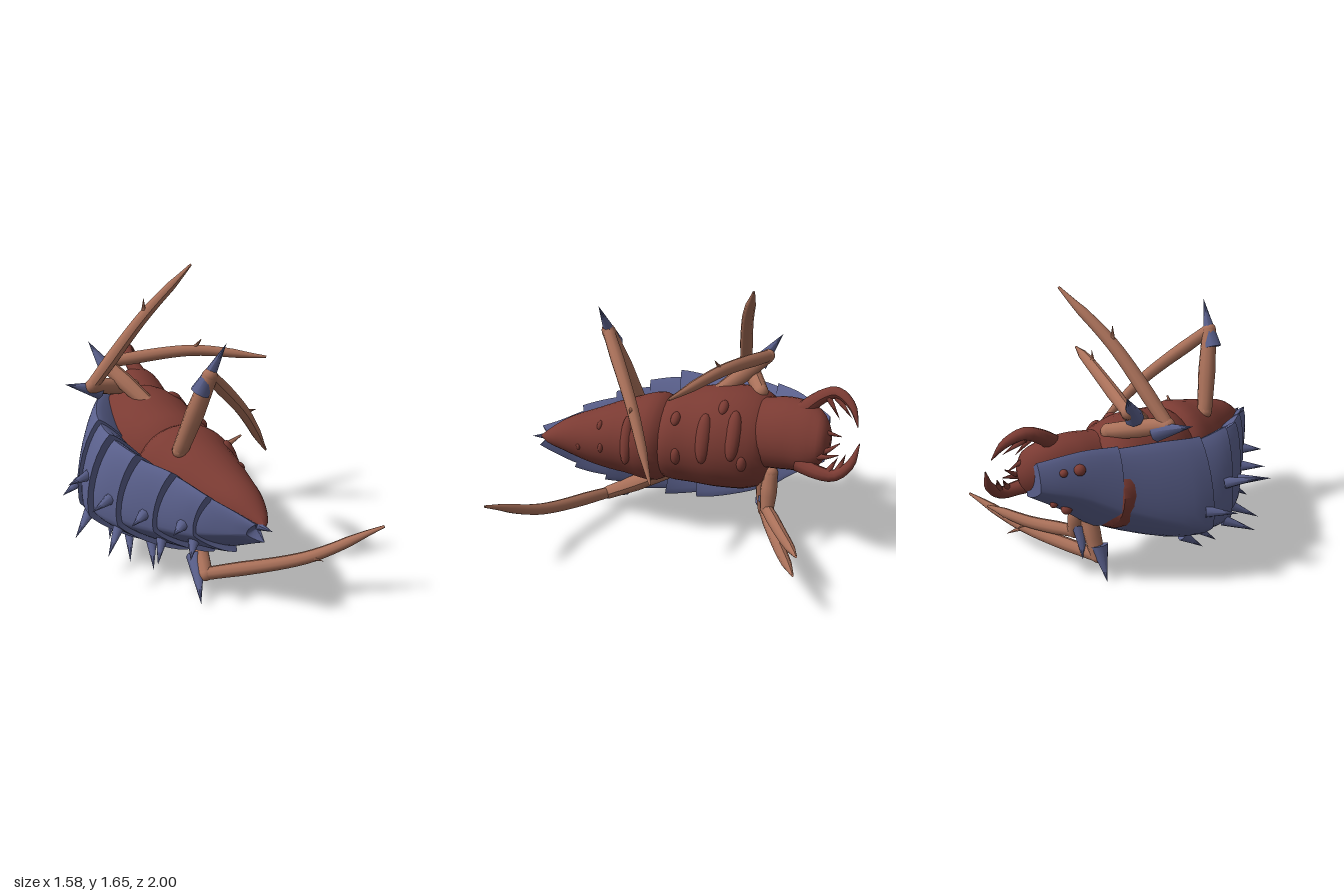
import * as THREE from 'three';
import { toCreasedNormals } from 'three/addons/utils/BufferGeometryUtils.js';

const V3 = (a) => new THREE.Vector3(...a);
// Cross-section axes: the creature lies on its side, belly to +x and back to -x
const VENTRAL = new THREE.Vector3(0.905, 0.425, 0);
const LATERAL = new THREE.Vector3(-0.425, 0.905, 0);
const KEEL = 1.5; // above 1 gives the back plates a ridge and pointed sides

const mat = (name, color) => {
  const m = new THREE.MeshStandardMaterial({ color, side: THREE.DoubleSide });
  m.name = name;
  return m;
};

// Smooth sampling of a table of sections: [z, x, y, side, belly, back]
function sampler(table) {
  const interp = new THREE.CubicInterpolant(table.map((s) => s[0]), table.flatMap((s) => s.slice(1)), 5);
  return (z) => [z, ...interp.evaluate(z)];
}

const bend = (v, p) => Math.sign(v) * Math.abs(v) ** p;

function sectionPoint([z, x, y, side, belly, back], a, p = 1, sweep = 0) {
  const c = bend(Math.cos(a), p), s = bend(Math.sin(a), p);
  return new THREE.Vector3(x, y, z + sweep * s * s)
    .addScaledVector(VENTRAL, c * (c > 0 ? belly : back))
    .addScaledVector(LATERAL, s * side);
}

// Closed skin through sections ordered by rising z
function loft(sections, n, p = 1, sweeps = []) {
  const pos = [], idx = [];
  sections.forEach((s, i) => {
    for (let j = 0; j < n; j++) pos.push(...sectionPoint(s, (j / n) * Math.PI * 2, p, sweeps[i] || 0));
  });
  const rows = sections.length;
  for (let i = 0; i < rows - 1; i++) {
    for (let j = 0; j < n; j++) {
      const k = (j + 1) % n, a = i * n + j, b = i * n + k;
      idx.push(a, b, b + n, a, b + n, a + n);
    }
  }
  const first = rows * n, last = first + 1, end = (rows - 1) * n;
  pos.push(sections[0][1], sections[0][2], sections[0][0]);
  pos.push(sections[rows - 1][1], sections[rows - 1][2], sections[rows - 1][0]);
  for (let j = 0; j < n; j++) {
    const k = (j + 1) % n;
    idx.push(first, k, j, last, end + j, end + k);
  }
  const g = new THREE.BufferGeometry();
  g.setAttribute('position', new THREE.Float32BufferAttribute(pos, 3));
  g.setIndex(idx);
  return toCreasedNormals(g, 0.75);
}

// Tube along points whose radius follows a list of values
function taperedTube(points, radii, steps = 14, sides = 10) {
  const curve = new THREE.CatmullRomCurve3(points.map(V3), false, 'centripetal');
  const g = new THREE.TubeGeometry(curve, steps, 1, sides, false);
  const pos = g.attributes.position, v = new THREE.Vector3();
  for (let i = 0; i <= steps; i++) {
    const c = curve.getPointAt(i / steps);
    const t = (i / steps) * (radii.length - 1), k = Math.min(Math.floor(t), radii.length - 2);
    const r = THREE.MathUtils.lerp(radii[k], radii[k + 1], t - k);
    for (let j = 0; j <= sides; j++) {
      const q = i * (sides + 1) + j;
      v.fromBufferAttribute(pos, q).sub(c).multiplyScalar(r).add(c);
      pos.setXYZ(q, v.x, v.y, v.z);
    }
  }
  g.computeVertexNormals();
  return g;
}

function spike(a, b, r, sides = 7) {
  const d = b.clone().sub(a), len = d.length();
  const g = new THREE.ConeGeometry(r, len, sides);
  g.translate(0, len / 2, 0);
  g.applyQuaternion(new THREE.Quaternion().setFromUnitVectors(new THREE.Vector3(0, 1, 0), d.normalize()));
  return g.translate(a.x, a.y, a.z);
}

const ball = (p, r) => new THREE.SphereGeometry(r, 14, 10).translate(p.x, p.y, p.z);

export function createModel() {
  const root = new THREE.Group();
  const flesh = mat('reddish brown body', 0x7b3b33);
  const shell = mat('slate blue shell', 0x5a608c);
  const skin = mat('tan legs', 0xa97059);
  const add = (name, g, m, parent = root) => {
    const mesh = new THREE.Mesh(g, m);
    mesh.name = name;
    parent.add(mesh);
    return mesh;
  };

  // Soft body: abdomen, thorax and head
  const parts = {
    abdomen: [[0.12, -0.14, 0.62, 0.2, 0.2, 0.2], [0.18, -0.13, 0.62, 0.265, 0.27, 0.26], [0.4, -0.09, 0.615, 0.24, 0.25, 0.24],
      [0.6, -0.03, 0.61, 0.18, 0.19, 0.18], [0.8, 0.03, 0.615, 0.1, 0.11, 0.1], [0.92, 0.065, 0.6, 0.03, 0.035, 0.03], [0.95, 0.07, 0.6, 0.005, 0.005, 0.005]],
    thorax: [[-0.48, -0.24, 0.65, 0.16, 0.16, 0.16], [-0.45, -0.24, 0.645, 0.25, 0.24, 0.24], [-0.38, -0.23, 0.645, 0.3, 0.28, 0.28],
      [-0.2, -0.2, 0.65, 0.32, 0.3, 0.3], [0, -0.18, 0.64, 0.3, 0.29, 0.3], [0.15, -0.14, 0.63, 0.265, 0.26, 0.26], [0.22, -0.13, 0.62, 0.22, 0.22, 0.22]],
    head: [[-0.83, -0.09, 0.76, 0.05, 0.03, 0.04], [-0.8, -0.09, 0.76, 0.12, 0.09, 0.09], [-0.73, -0.11, 0.755, 0.185, 0.13, 0.13],
      [-0.58, -0.15, 0.745, 0.215, 0.17, 0.16], [-0.4, -0.17, 0.72, 0.21, 0.18, 0.17]],
  };
  const at = {};
  for (const [name, table] of Object.entries(parts)) {
    const f = (at[name] = sampler(table));
    const z0 = table[0][0], z1 = table[table.length - 1][0], rows = [];
    for (let i = 0; i <= 18; i++) rows.push(f(z0 + ((z1 - z0) * i) / 18));
    add(name, loft(rows, 28), flesh);
  }

  // Raised folds and pimples on the belly: [part, z, angle, length, width]
  const folds = [['thorax', -0.28, 0, 0.15, 0.05], ['thorax', -0.11, -0.1, 0.15, 0.05], ['thorax', 0.05, -0.5, 0.055, 0.03],
    ['thorax', 0.07, 0.32, 0.045, 0.03], ['abdomen', 0.35, -0.15, 0.15, 0.04], ['abdomen', 0.51, -0.4, 0.03, 0.016],
    ['abdomen', 0.53, 0.3, 0.03, 0.016], ['abdomen', 0.66, -0.5, 0.02, 0.014], ['thorax', -0.2, 0.55, 0.05, 0.03], ['thorax', -0.34, -0.55, 0.05, 0.03]];
  for (const [part, z, a, len, w] of folds) {
    const fold = add('bellyFold', new THREE.SphereGeometry(1, 14, 10), flesh);
    const [, x, y] = at[part](z), p = sectionPoint(at[part](z), a);
    fold.position.copy(p.lerp(new THREE.Vector3(x, y, z), len * 0.7));
    fold.scale.set(w, len, w);
    fold.rotation.z = Math.atan2(0.425, 0.905) + a;
  }

  // Overlapping keeled back plates, flared at the rear edge
  const back = sampler([[-0.8, -0.15, 0.74, 0.14, 0.03, 0.1], [-0.6, -0.24, 0.7, 0.25, 0.06, 0.14], [-0.45, -0.29, 0.64, 0.32, 0.1, 0.19],
    [-0.2, -0.36, 0.58, 0.385, 0.12, 0.28], [0, -0.39, 0.54, 0.4, 0.12, 0.33], [0.2, -0.37, 0.53, 0.385, 0.12, 0.31],
    [0.38, -0.29, 0.525, 0.33, 0.1, 0.26], [0.55, -0.18, 0.54, 0.27, 0.07, 0.22], [0.72, -0.09, 0.55, 0.19, 0.05, 0.15],
    [0.85, 0, 0.57, 0.1, 0.03, 0.09], [0.97, 0.06, 0.595, 0.03, 0.01, 0.03]]);
  const scaled = (z, k) => back(z).map((v, i) => (i > 2 ? v * k : v));
  // Each plate: front z, rear z, and thorns as [angle, length]
  const plates = [[-0.8, -0.44, []], [-0.46, 0.02, [[-0.4, 0.18], [0.7, 0.17]]],
    [-0.06, 0.18, [[-0.7, 0.22], [0.1, 0.2], [0.85, 0.2]]], [0.12, 0.36, [[-0.55, 0.2], [0.3, 0.2], [0.9, 0.18]]],
    [0.3, 0.54, [[-0.45, 0.15], [0.55, 0.16]]], [0.48, 0.72, [[-0.4, 0.12], [0.5, 0.12]]], [0.66, 0.92, []]];
  plates.forEach(([z0, z1, thorns], i) => {
    const rows = [], sweeps = [];
    for (let s = 0; s <= 8; s++) {
      const t = s / 8;
      rows.push(scaled(z0 + (z1 - z0) * t, i > 1 ? 0.9 + 0.15 * t : 0.96 + 0.06 * t));
      sweeps.push(i > 1 ? 0.05 * t : 0);
    }
    add(i === 0 ? 'headShield' : 'backPlate', loft(rows, 36, KEEL, sweeps), shell);
    for (const [a, len] of thorns) {
      const p = sectionPoint(scaled(z1 - 0.05, 0.98), Math.PI + a, KEEL);
      const out = VENTRAL.clone().multiplyScalar(-Math.cos(a)).addScaledVector(LATERAL, -Math.sin(a));
      out.z = 1.1;
      add('backThorn', spike(p, p.clone().addScaledVector(out.normalize(), len), 0.034), shell);
    }
  });
  add('tailThorn', spike(V3([0, 0.59, 0.8]), V3([0.09, 0.6, 1.0]), 0.055), shell);

  // Eyes on both edges of the head shield
  for (const side of [-1, 1]) {
    for (const [z, a, r] of [[-0.7, 0.85, 0.022], [-0.63, 0.9, 0.032]]) {
      add('eye', ball(sectionPoint(scaled(z, 1), Math.PI + side * a, KEEL), r), flesh);
    }
  }

  // Jaws with inner teeth, and mouth feelers
  add('upperJaw', taperedTube([[-0.14, 0.9, -0.64], [-0.18, 0.99, -0.75], [-0.17, 1.03, -0.84], [-0.12, 0.98, -0.93], [-0.06, 0.88, -0.98]], [0.05, 0.042, 0.034, 0.024, 0.003]), flesh);
  add('lowerJaw', taperedTube([[-0.01, 0.63, -0.66], [0.035, 0.61, -0.79], [0.04, 0.61, -0.88], [0.02, 0.68, -0.96], [-0.02, 0.8, -1.0]], [0.05, 0.042, 0.034, 0.026, 0.003]), flesh);
  const teeth = [[[-0.17, 1.01, -0.78], [-0.11, 0.89, -0.87]], [[-0.17, 1.0, -0.84], [-0.1, 0.91, -0.94]],
    [[0.04, 0.62, -0.84], [0, 0.71, -0.89]], [[0.03, 0.64, -0.9], [-0.01, 0.73, -0.93]]];
  for (const [a, b] of teeth) add('jawTooth', spike(V3(a), V3(b), 0.022), flesh);
  for (const [x, y, up] of [[-0.05, 0.72, 0.06], [-0.02, 0.7, 0.02], [-0.1, 0.82, -0.02]]) {
    add('mouthFeeler', taperedTube([[x, y, -0.7], [x + 0.03, y, -0.8], [x + 0.02, y + up, -0.89]], [0.025, 0.018, 0.003], 8, 7), flesh);
  }

  // Legs, each with a blue knee thorn and a small shin spur
  const legs = [
    { name: 'upperRearLeg', hip: [-0.2, 0.83, 0.4], knee: [-0.08, 1.29, 0.53], mid: [0.22, 0.95, 0.27], foot: [0.45, 0.6, 0.08], thorn: [0, 1.46, 0.55], spur: [0.31, 0.95, 0.25] },
    { name: 'upperMiddleLeg', hip: [-0.26, 0.94, -0.37], knee: [-0.55, 1.03, -0.2], mid: [-0.2, 1.4, -0.29], foot: [0.13, 1.66, -0.4], thorn: [-0.71, 1.07, -0.17], spur: [-0.2, 1.51, -0.29] },
    { name: 'upperFrontLeg', hip: [-0.24, 0.92, -0.12], knee: [-0.43, 1.11, -0.37], mid: [0.08, 1.18, -0.22], foot: [0.49, 1.15, -0.05], thorn: [-0.51, 1.23, -0.44], spur: [0.13, 1.26, -0.19] },
    { name: 'lowerRearLeg', hip: [-0.08, 0.39, 0.18], knee: [-0.12, 0.15, 0.6], mid: [0.4, 0.28, 0.81], foot: [0.77, 0.48, 0.95], thorn: [-0.19, 0.05, 0.73], spur: [0.45, 0.29, 0.89] },
    { name: 'lowerMiddleLeg', hip: [-0.12, 0.45, -0.44], knee: [-0.22, 0.15, -0.43], mid: [0.25, 0.2, -0.63], foot: [0.64, 0.31, -0.78], thorn: [-0.31, 0.02, -0.43], spur: [0.32, 0.15, -0.72] },
    { name: 'lowerFrontLeg', hip: [-0.12, 0.48, -0.48], knee: [-0.06, 0.26, -0.48], mid: [0.2, 0.26, -0.63], foot: [0.45, 0.3, -0.76], thorn: [-0.17, 0.13, -0.5], spur: [0.25, 0.2, -0.68] },
  ];
  for (const { name, hip, knee, mid, foot, thorn, spur } of legs) {
    const leg = new THREE.Group();
    leg.name = name;
    root.add(leg);
    const K = V3(knee), H = V3(hip), T = V3(thorn), M = V3(mid), F = V3(foot);
    add('hip', ball(H, 0.045), skin, leg);
    add('thigh', taperedTube([hip, H.clone().lerp(K, 0.5).toArray(), knee], [0.045, 0.052, 0.042], 8), skin, leg);
    add('knee', ball(K, 0.04), skin, leg);
    const ankle = M.clone().lerp(F, 0.8).toArray();
    add('shin', taperedTube([knee, mid, ankle, foot], [0.036, 0.04, 0.037, 0.034, 0.028, 0.007], 20), skin, leg);
    // The thorn sits on the outer side of the knee, away from the shin
    const base = K.clone().lerp(H, 0.25).addScaledVector(M.clone().sub(K).normalize(), -0.032);
    add('kneeThorn', spike(base, T, 0.054, 8), shell, leg);
    add('shinSpur', spike(M, V3(spur), 0.02, 6), skin, leg);
  }
  return root;
}
